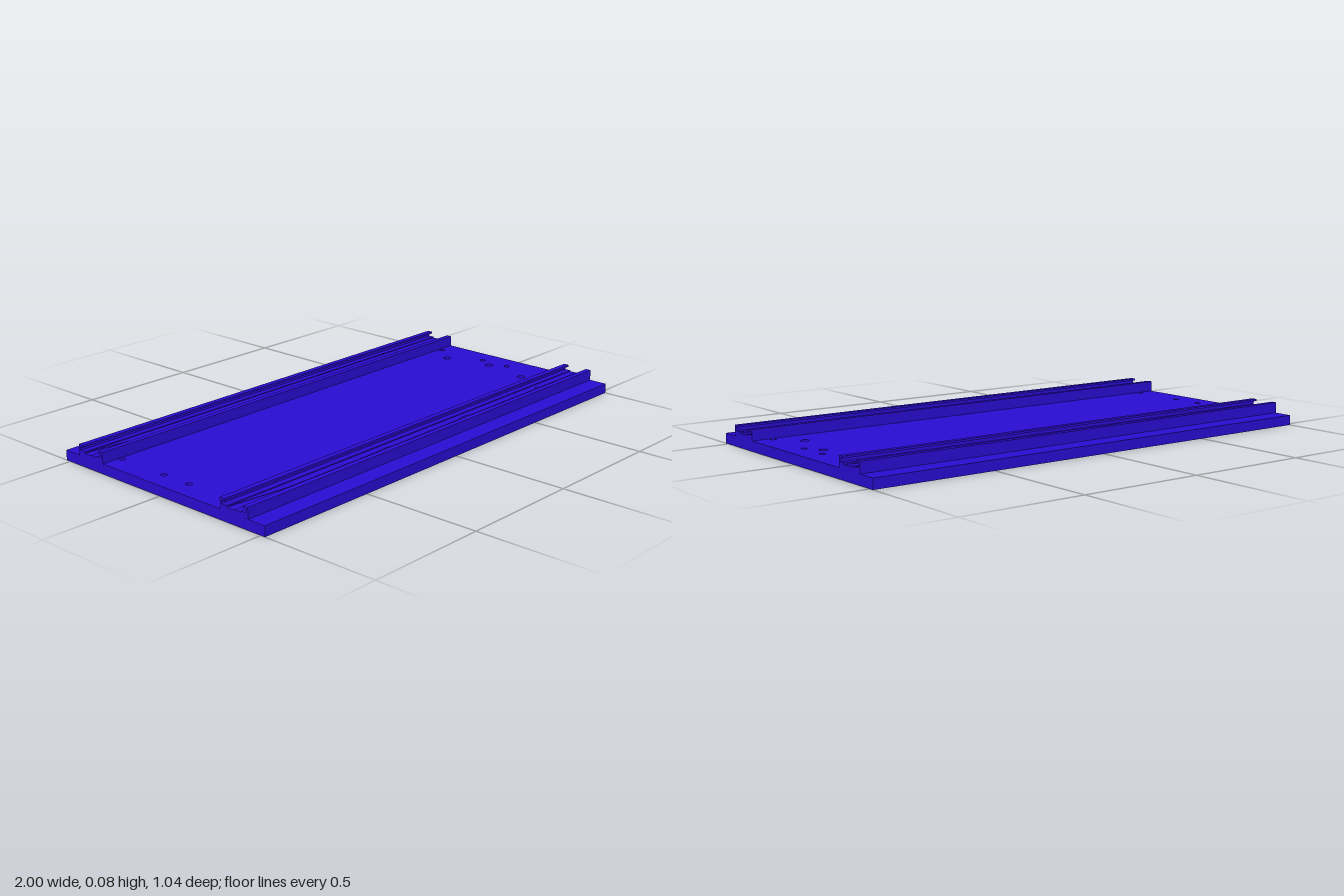
import * as THREE from 'three';

const material = new THREE.MeshStandardMaterial({ color: 0x2a0bd0 });
const RAIL_Z = 0.375, HALF = 0.067;
const PLATE_TOP = 0.04, SLAB_TOP = 0.055, FLOOR = 0.057;

// holes of a rail along x: [x, radius]
const railHoles = [[-0.72, 0.014], [-0.24, 0.028], [0.24, 0.028], [0.72, 0.014]];

function mesh(name, geometry) {
  const m = new THREE.Mesh(geometry, material);
  m.name = name;
  return m;
}

// extrude a plan shape (shape x = x, shape y = -z) from y0 up to y1
function slab(name, shape, y0, y1) {
  const g = new THREE.ExtrudeGeometry(shape, { depth: y1 - y0, bevelEnabled: false, curveSegments: 12 });
  g.rotateX(-Math.PI / 2).translate(0, y0, 0);
  return mesh(name, g);
}

// rectangle of length 2 with round holes [x, y, radius]
function drilledRect(halfWidth, holes) {
  const w = halfWidth;
  const s = new THREE.Shape([[-1, -w], [1, -w], [1, w], [-1, w]].map(p => new THREE.Vector2(...p)));
  for (const [x, y, r] of holes) s.holes.push(new THREE.Path().absarc(x, y, r, 0, Math.PI * 2, true));
  return s;
}

// one side of a rail: undercut wall with lip, and half of the raised floor
function railSide() {
  const side = new THREE.Group();
  side.name = 'railSide';

  const profile = new THREE.Shape([
    [0.034, SLAB_TOP], [HALF, SLAB_TOP], [HALF, 0.083], [0.044, 0.083],
    [0.044, 0.075], [0.058, 0.075], [0.058, 0.061], [0.034, 0.061],
  ].map(p => new THREE.Vector2(...p)));
  const wall = new THREE.ExtrudeGeometry(profile, { depth: 2, bevelEnabled: false });
  wall.rotateY(Math.PI / 2).translate(-1, 0, 0);
  side.add(mesh('lippedWall', wall));

  // floor strip beside the centre groove, notched around the holes
  const edge = 0.003;
  const strip = new THREE.Shape();
  strip.moveTo(-1, edge);
  for (const [x, r] of railHoles) {
    const a = Math.asin(edge / r);
    strip.absarc(x, 0, r, Math.PI - a, a, true);
  }
  strip.lineTo(1, edge);
  strip.lineTo(1, 0.034);
  strip.lineTo(-1, 0.034);
  const floor = slab('floorStrip', strip, SLAB_TOP, FLOOR);
  floor.rotation.y = Math.PI;
  side.add(floor);
  return side;
}

function rail(name, z) {
  const g = new THREE.Group();
  g.name = name;
  g.add(slab('railBase', drilledRect(HALF, railHoles.map(([x, r]) => [x, 0, r])), PLATE_TOP, SLAB_TOP));
  const a = railSide(), b = railSide();
  b.rotation.y = Math.PI;
  g.add(a, b);
  g.position.z = z;
  return g;
}

export function createModel() {
  const model = new THREE.Group();
  model.name = 'railedBasePlate';

  // through holes of the base plate
  const holes = [[0.88, 0, 0.017]];
  for (const s of [-1, 1]) {
    holes.push([0.84, s * 0.2, 0.016]);
    for (const x of [-1, 1]) {
      holes.push([x * 0.72, s * RAIL_Z, 0.014]);
      for (const z of [0.065, 0.294]) holes.push([x * 0.92, s * z, 0.012]);
    }
  }
  model.add(slab('basePlate', drilledRect(0.52, holes), 0, PLATE_TOP));
  model.add(rail('frontRail', RAIL_Z), rail('backRail', -RAIL_Z));
  return model;
}
